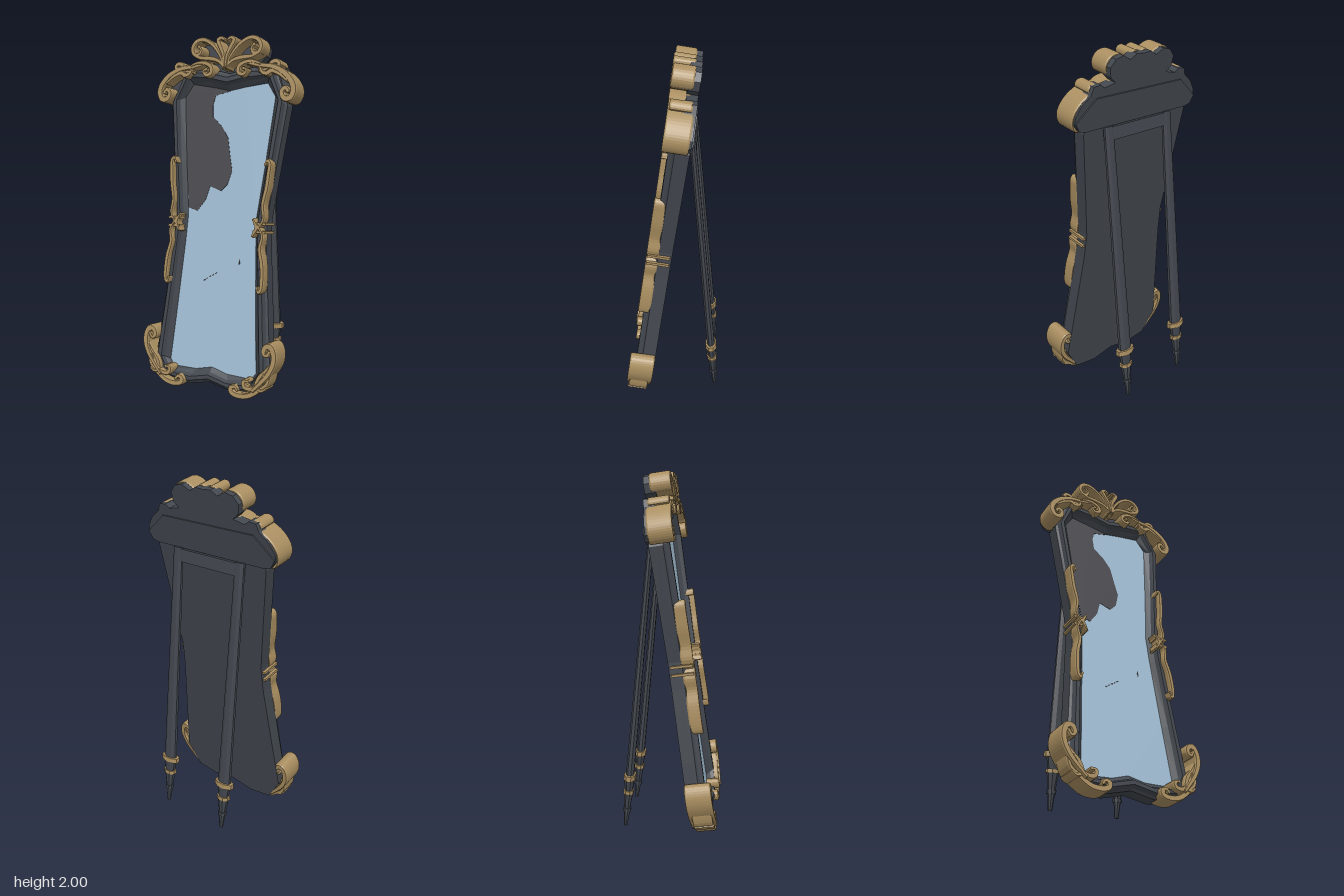
import * as THREE from 'three';

const material = (name, color, side = THREE.FrontSide) => {
  const m = new THREE.MeshStandardMaterial({ color, side });
  m.name = name;
  return m;
};

export function createModel() {
  const wood = material('dark wood', 0x42474e);
  const gold = material('aged gold', 0xa98e60);
  const glass = material('mirror glass', 0xa3bfd5);
  const worn = material('worn silvering', 0x4b4a4f);

  const model = new THREE.Group();
  model.name = 'leaningMirror';
  const mirror = new THREE.Group(); // everything that leans back
  mirror.name = 'mirrorBody';
  mirror.position.z = 0.136;
  mirror.rotation.x = -0.143;
  model.add(mirror);

  const add = (parent, name, geometry, mat, x = 0, y = 0, z = 0) => {
    const mesh = new THREE.Mesh(geometry, mat);
    mesh.name = name;
    mesh.position.set(x, y, z);
    parent.add(mesh);
    return mesh;
  };
  // upright heights -> heights along the leaning body
  const lean = ([x, y]) => new THREE.Vector2(x, y * 1.0103 - 0.016);
  // half outline (top centre to bottom centre) -> closed symmetric loop
  const symmetric = half => [
    ...half,
    ...half.slice(1, -1).reverse().map(([x, y]) => [-x, y]),
  ].map(lean);
  const plate = (points, depth) =>
    new THREE.ExtrudeGeometry(new THREE.Shape(points), { depth, bevelEnabled: false });

  // ---- Frame: outer and inner outlines joined by a moulded profile
  const outer = symmetric([[0, 1.80], [0.13, 1.83], [0.28, 1.83], [0.365, 1.62], [0.325, 1.3], [0.288, 1.0],
    [0.295, 0.85], [0.335, 0.45], [0.362, 0.19], [0.28, 0.05], [0.14, 0.03], [0, 0.06]]);
  const inner = symmetric([[0, 1.705], [0.1, 1.725], [0.235, 1.745], [0.285, 1.67], [0.25, 1.3], [0.217, 1.0],
    [0.224, 0.85], [0.252, 0.45], [0.275, 0.15], [0.25, 0.115], [0.1, 0.118], [0, 0.143]]);
  add(mirror, 'backBoard', plate(outer, 0.05), wood);

  const profile = [[0, 0.05], [0, 0.075], [0.14, 0.085], [0.28, 0.108], [0.55, 0.108], [0.7, 0.085], [1, 0.06]];
  const n = outer.length, position = [], index = [];
  for (const [s, z] of profile)
    outer.forEach((p, i) => {
      const q = p.clone().lerp(inner[i], s);
      position.push(q.x, q.y, z);
    });
  for (let k = 0; k < profile.length - 1; k++)
    for (let i = 0; i < n; i++) {
      const a = k * n + i, b = k * n + (i + 1) % n;
      index.push(a, a + n, b, b, a + n, b + n);
    }
  let moulding = new THREE.BufferGeometry();
  moulding.setAttribute('position', new THREE.Float32BufferAttribute(position, 3));
  moulding.setIndex(index);
  moulding = moulding.toNonIndexed();
  moulding.computeVertexNormals();
  add(mirror, 'frameMoulding', moulding, wood);

  // ---- Glass with worn patch and small cracks
  add(mirror, 'mirrorGlass', plate(inner, 0.009), glass, 0, 0, 0.052);
  const patch = [[0.01, 1.705], [-0.085, 1.68], [-0.1, 1.63], [-0.095, 1.56], [-0.03, 1.5], [0.01, 1.44],
    [0.03, 1.34], [0.048, 1.26], [0.025, 1.18], [-0.015, 1.14], [-0.085, 1.165], [-0.11, 1.085], [-0.16, 1.02],
    [-0.218, 1.035], [-0.25, 1.3], [-0.285, 1.67], [-0.235, 1.745], [-0.1, 1.725]].map(lean);
  add(mirror, 'wornPatch', plate(patch, 0.003), worn, 0, 0, 0.06);
  for (let i = 0; i < 5; i++) {
    const p = lean([-0.085 + i * 0.018, 0.63 + i * 0.011]);
    add(mirror, 'crack', new THREE.BoxGeometry(0.012, 0.005, 0.003), worn, p.x, p.y, 0.0615).rotation.z = 0.5;
  }
  add(mirror, 'chip', new THREE.BoxGeometry(0.006, 0.03, 0.003), worn, 0.13, 0.743, 0.0615);

  // ---- Crown back plate
  const crown = symmetric([[0, 1.985], [0.05, 1.99], [0.09, 1.965], [0.14, 1.992], [0.19, 1.98], [0.222, 1.94],
    [0.215, 1.89], [0.18, 1.86], [0.25, 1.845], [0.275, 1.865], [0.32, 1.86], [0.335, 1.82], [0.39, 1.775],
    [0.425, 1.72], [0.428, 1.68], [0.40, 1.645], [0.36, 1.635], [0.3, 1.79], [0, 1.76]]);
  add(mirror, 'crownPlate', plate(crown, 0.06), wood);
  // straight lower edge of the crown behind the board
  const apron = symmetric([[0, 1.8], [0.3, 1.8], [0.425, 1.69], [0.40, 1.645], [0.36, 1.635], [0, 1.635]]);
  add(mirror, 'crownApron', plate(apron, 0.012), wood, 0, 0, -0.008);

  // ---- Gold scrolls: tapered ribbons along a curve, extruded forward
  const scroll = (name, points, width, z0, z1, bulb = 0) => {
    for (const side of [1, -1]) {
      const ctrl = points.map(([x, y]) => lean([x * side, y]));
      const curve = new THREE.SplineCurve(ctrl);
      const steps = points.length * 4, left = [], right = [];
      for (let i = 0; i <= steps; i++) {
        const t = i / steps, p = curve.getPoint(t), d = curve.getTangent(t);
        const w = width * (0.3 + 0.25 * Math.sin(Math.PI * t));
        left.push(new THREE.Vector2(p.x - d.y * w, p.y + d.x * w));
        right.unshift(new THREE.Vector2(p.x + d.y * w, p.y - d.x * w));
      }
      const geo = new THREE.ExtrudeGeometry(new THREE.Shape([...left, ...right]), {
        depth: z1 - z0 - 0.008, bevelThickness: 0.008, bevelSize: 0.004, bevelOffset: -0.004, bevelSegments: 1,
      });
      add(mirror, name, geo, gold, 0, 0, z0);
      if (bulb) {
        const end = ctrl[ctrl.length - 1];
        const eye = new THREE.CylinderGeometry(bulb * 0.8, bulb, z1 - z0, 8);
        add(mirror, name + 'Eye', eye, gold, end.x, end.y, (z0 + z1) / 2).rotation.x = Math.PI / 2;
      }
    }
  };

  // crown
  scroll('crownUpperScroll', [[0.01, 1.815], [0.03, 1.88], [0.08, 1.945], [0.14, 1.98], [0.19, 1.972], [0.213, 1.935],
    [0.2, 1.9], [0.168, 1.9], [0.157, 1.925], [0.172, 1.943]], 0.026, 0.04, 0.145, 0.012);
  scroll('crownPlume', [[0.005, 1.82], [0.012, 1.89], [0.035, 1.94], [0.05, 1.972], [0.03, 1.985], [0.004, 1.97]],
    0.026, 0.04, 0.15);
  scroll('crownLeaf', [[0, 1.82], [0.045, 1.86], [0.1, 1.875], [0.16, 1.88], [0.21, 1.90]], 0.026, 0.04, 0.145);
  scroll('crownInnerScroll', [[0.22, 1.835], [0.18, 1.85], [0.13, 1.85], [0.09, 1.83], [0.085, 1.795],
    [0.115, 1.782], [0.135, 1.805], [0.117, 1.815]], 0.026, 0.04, 0.145, 0.012);
  scroll('crownShoulderScroll', [[0.12, 1.85], [0.2, 1.832], [0.29, 1.82], [0.36, 1.785], [0.405, 1.735],
    [0.417, 1.69], [0.40, 1.652], [0.365, 1.652], [0.35, 1.685], [0.37, 1.708], [0.385, 1.69]], 0.034, 0.02, 0.142, 0.013);
  scroll('crownShoulderCurl', [[0.2, 1.80], [0.25, 1.81], [0.28, 1.845], [0.31, 1.85], [0.325, 1.83], [0.3, 1.825]],
    0.026, 0.03, 0.135);
  scroll('crownShoulderLeaf', [[0.21, 1.84], [0.225, 1.795], [0.26, 1.785], [0.28, 1.80], [0.33, 1.78], [0.38, 1.74]],
    0.026, 0.03, 0.14);

  // lower corners
  scroll('cornerSideScroll', [[0.29, 0.07], [0.33, 0.115], [0.375, 0.17], [0.403, 0.23], [0.405, 0.285], [0.385, 0.325],
    [0.355, 0.32], [0.345, 0.29], [0.365, 0.275], [0.378, 0.295]], 0.032, 0.01, 0.145, 0.011);
  scroll('cornerFootScroll', [[0.385, 0.19], [0.37, 0.12], [0.32, 0.075], [0.265, 0.04], [0.21, 0.03], [0.165, 0.04],
    [0.155, 0.065], [0.18, 0.075], [0.195, 0.06]], 0.03, 0.03, 0.13, 0.01);
  scroll('cornerInnerCurl', [[0.36, 0.18], [0.335, 0.12], [0.29, 0.085], [0.245, 0.085], [0.235, 0.115], [0.262, 0.12]],
    0.026, 0.06, 0.14, 0.01);
  scroll('cornerLeaf', [[0.395, 0.24], [0.36, 0.19], [0.325, 0.15], [0.31, 0.1], [0.34, 0.08], [0.37, 0.1]], 0.024, 0.03, 0.135);

  // waist ornaments
  scroll('waistUpperScroll', [[0.255, 0.94], [0.29, 1.0], [0.282, 1.08], [0.298, 1.17], [0.305, 1.25], [0.308, 1.3],
    [0.293, 1.318], [0.282, 1.295]], 0.024, 0.08, 0.14, 0.009);
  scroll('waistLowerScroll', [[0.255, 0.97], [0.29, 0.91], [0.28, 0.84], [0.298, 0.76], [0.305, 0.68], [0.302, 0.62],
    [0.288, 0.605], [0.28, 0.63]], 0.024, 0.08, 0.14, 0.009);
  scroll('waistInnerLeaf', [[0.228, 1.0], [0.25, 0.965], [0.25, 0.94], [0.228, 0.9]], 0.022, 0.08, 0.14);
  for (const side of [1, -1])
    for (const y of [0.93, 0.975]) {
      const p = lean([0.269 * side, y]);
      add(mirror, 'waistBand', new THREE.BoxGeometry(0.075, 0.014, 0.125), gold, p.x, p.y, 0.072);
    }

  // ---- Rear stand: two legs with turned feet and a top rail
  const stand = new THREE.Group();
  stand.name = 'rearStand';
  stand.position.set(0, 1.62, -0.105);
  stand.rotation.x = 0.096;
  model.add(stand);
  // eight-sided tapered block: [name, material, y top, y bottom, half width top, half width bottom, depth ratio]
  const legParts = [
    ['legShaft', wood, 0, -1.31, 0.029, 0.04, 0.55],
    ['legCollar', gold, -1.305, -1.335, 0.058, 0.058, 0.55],
    ['footBlock', wood, -1.335, -1.4, 0.04, 0.03, 0.7],
    ['footRing', gold, -1.4, -1.42, 0.04, 0.04, 0.7],
    ['footTaper', wood, -1.42, -1.51, 0.032, 0.02, 0.8],
    ['footBead', wood, -1.51, -1.53, 0.025, 0.025, 0.9],
    ['footTip', wood, -1.53, -1.618, 0.019, 0.011, 0.9],
  ];
  for (const side of [1, -1])
    for (const [name, mat, y0, y1, r0, r1, ratio] of legParts) {
      const geo = new THREE.CylinderGeometry(r0 * 1.08, r1 * 1.08, y0 - y1, 8).rotateY(Math.PI / 8)
        .scale(1, 1, ratio).toNonIndexed();
      geo.computeVertexNormals();
      add(stand, name, geo, mat, side * 0.21, (y0 + y1) / 2, 0);
    }
  add(stand, 'topRail', new THREE.BoxGeometry(0.4, 0.07, 0.028), wood, 0, -0.04, 0);

  return model;
}
